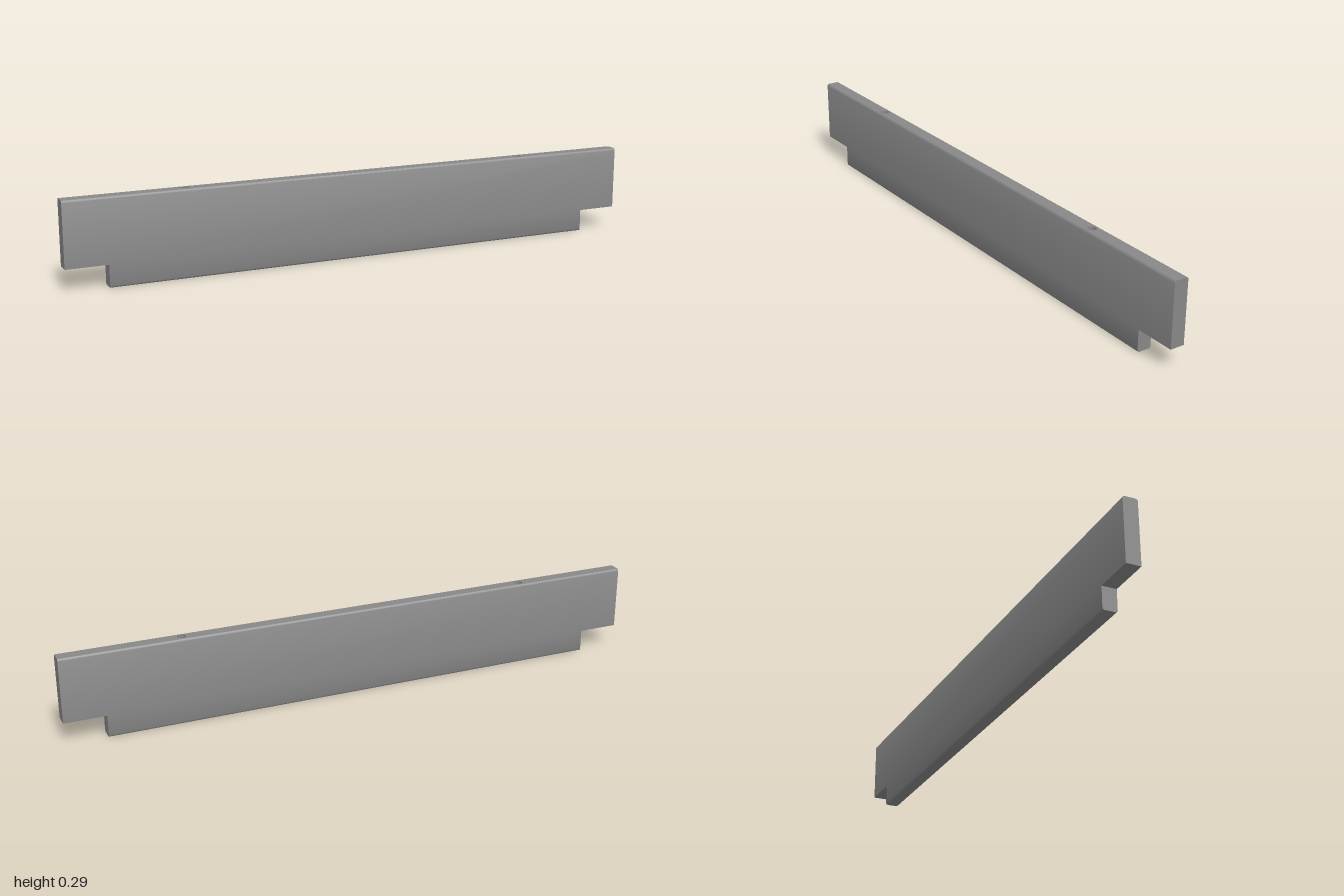
import * as THREE from 'three';
import { toCreasedNormals } from 'three/addons/utils/BufferGeometryUtils.js';

const T = 0.0243;      // half thickness
const H = 0.29;        // height
const STEP = 0.075;    // height of the end notches
const LONG = 1;        // half length above the notches
const SHORT = 0.862;   // half length below the notches
const R = 0.007;       // rounding of the long edges
const HOLE_X = 0.604, HOLE_R = 0.014, HOLE_DEPTH = 0.1;

export function createModel() {
  const group = new THREE.Group();
  const wood = new THREE.MeshStandardMaterial({ color: 0x888888 });
  wood.name = 'boardGrey';

  const add = (name, geometry, parent = group) => {
    const mesh = new THREE.Mesh(geometry, wood);
    mesh.name = name;
    parent.add(mesh);
    return mesh;
  };

  // Front half-profiles as (z, y) points, listed upward
  const arc = (cy, from, to) => Array.from({ length: 7 }, (_, i) => {
    const a = from + (to - from) * i / 6;
    return [T - R + R * Math.cos(a), cy + R * Math.sin(a)];
  });
  const upper = [[T, STEP], ...arc(H - R, 0, Math.PI / 2)];
  const lower = [...arc(R, -Math.PI / 2, 0), [T, STEP]];

  // Sweep a profile along x
  const sweep = (profile, half) => {
    const pos = [], index = [];
    profile.forEach(([z, y], i) => {
      pos.push(-half, y, z, half, y, z);
      if (i) {
        const a = 2 * i - 2;
        index.push(a, a + 1, a + 3, a, a + 3, a + 2);
      }
    });
    const g = new THREE.BufferGeometry();
    g.setAttribute('position', new THREE.Float32BufferAttribute(pos, 3));
    g.setIndex(index);
    return toCreasedNormals(g, 0.6);
  };

  // Flat end closing both halves of a profile
  const endCap = (profile) => {
    const mirrored = profile.map(([z, y]) => [-z, y]).reverse();
    const points = [...profile, ...mirrored].map(([z, y]) => new THREE.Vector2(z, y));
    return new THREE.ShapeGeometry(new THREE.Shape(points));
  };

  // Front and back faces with rounded long edges
  ['front', 'back'].forEach((side, i) => {
    const face = new THREE.Group();
    face.name = side + 'Face';
    face.rotation.y = i * Math.PI;
    add(side + 'Upper', sweep(upper, LONG), face);
    add(side + 'Lower', sweep(lower, SHORT), face);
    group.add(face);
  });

  // Top edge with two drilled holes
  const w = T - R;
  const top = new THREE.Shape([
    new THREE.Vector2(-LONG, -w), new THREE.Vector2(LONG, -w),
    new THREE.Vector2(LONG, w), new THREE.Vector2(-LONG, w),
  ]);
  for (const s of [-1, 1]) {
    top.holes.push(new THREE.Path().absarc(s * HOLE_X, 0, HOLE_R, 0, Math.PI * 2, true));
  }
  add('topEdge', new THREE.ShapeGeometry(top, 16).rotateX(-Math.PI / 2).translate(0, H, 0));

  // Bottom edge between the notches
  add('bottomEdge', new THREE.PlaneGeometry(2 * SHORT, 2 * w).rotateX(Math.PI / 2));

  for (const s of [-1, 1]) {
    const side = s > 0 ? 'left' : 'right';
    // Ends and notch
    const end = add(side + 'End', endCap(upper));
    end.position.x = s * LONG;
    end.rotation.y = s * Math.PI / 2;
    const notchWall = add(side + 'NotchWall', endCap(lower));
    notchWall.position.x = s * SHORT;
    notchWall.rotation.y = s * Math.PI / 2;
    const notch = add(side + 'NotchUnderside',
      new THREE.PlaneGeometry(LONG - SHORT, 2 * T).rotateX(Math.PI / 2));
    notch.position.set(s * (LONG + SHORT) / 2, STEP, 0);

    // Blind hole: wall and floor, facing inward
    const wall = new THREE.LatheGeometry([
      new THREE.Vector2(HOLE_R, H), new THREE.Vector2(HOLE_R, H - HOLE_DEPTH),
    ], 32);
    add(side + 'HoleWall', wall).position.x = s * HOLE_X;
    const floor = add(side + 'HoleFloor',
      new THREE.CircleGeometry(HOLE_R, 32).rotateX(-Math.PI / 2));
    floor.position.set(s * HOLE_X, H - HOLE_DEPTH, 0);
  }
  return group;
}
